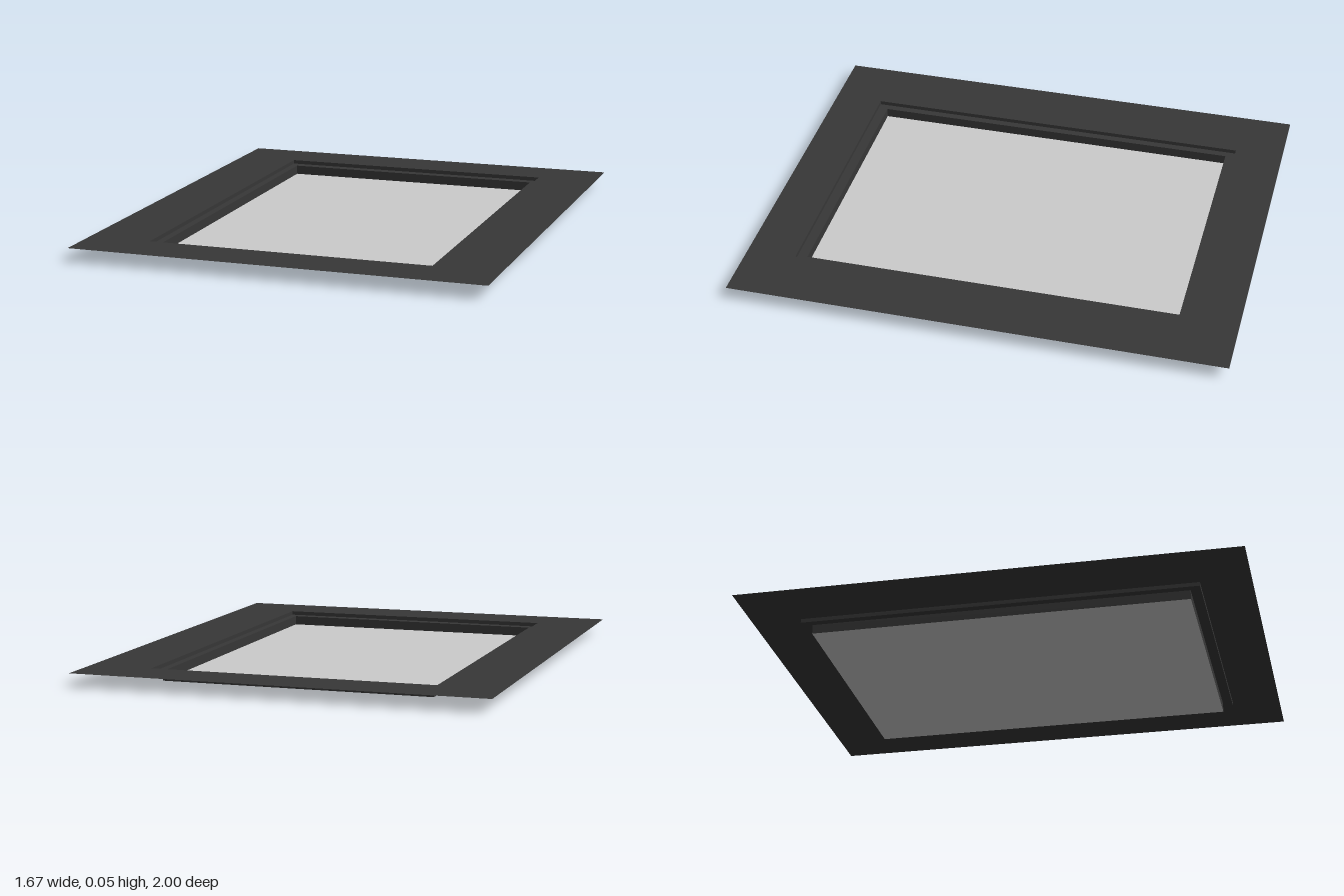
import * as THREE from 'three';

const dark = new THREE.MeshStandardMaterial({ color: 0x373737, side: THREE.DoubleSide });
const grey = new THREE.MeshStandardMaterial({ color: 0xcccccc, side: THREE.DoubleSide });

// Rectangular loops as half width, half depth, height: from the outer rim down to the panel
const rim = [0.835, 1.0, 0.054];
const lipTop = [0.58, 0.8, 0.054];
const lipBottom = [0.58, 0.8, 0.038];
const wallTop = [0.55, 0.76, 0.038];
const wallBottom = [0.55, 0.76, 0];

const corners = ([w, d, y]) => [[-w, y, d], [w, y, d], [w, y, -d], [-w, y, -d]];

// Four flat-shaded quads joining an outer (or upper) loop to an inner (or lower) loop
function band(name, outer, inner) {
  const a = corners(outer), b = corners(inner), points = [];
  for (let i = 0; i < 4; i++) {
    const j = (i + 1) % 4;
    points.push(a[i], a[j], b[j], a[i], b[j], b[i]);
  }
  const geometry = new THREE.BufferGeometry();
  geometry.setAttribute('position', new THREE.Float32BufferAttribute(points.flat(), 3));
  geometry.computeVertexNormals();
  const mesh = new THREE.Mesh(geometry, dark);
  mesh.name = name;
  return mesh;
}

export function createModel() {
  const group = new THREE.Group();
  group.name = 'recessedPanel';

  // Thin flat surround, then the stepped recess
  group.add(
    band('surround', rim, lipTop),
    band('lipWall', lipTop, lipBottom),
    band('ledge', lipBottom, wallTop),
    band('recessWall', wallTop, wallBottom),
  );

  // Pale panel closing the bottom of the recess
  const panel = new THREE.Mesh(
    new THREE.PlaneGeometry(2 * wallBottom[0], 2 * wallBottom[1]).rotateX(-Math.PI / 2), grey);
  panel.name = 'panel';
  group.add(panel);

  return group;
}
